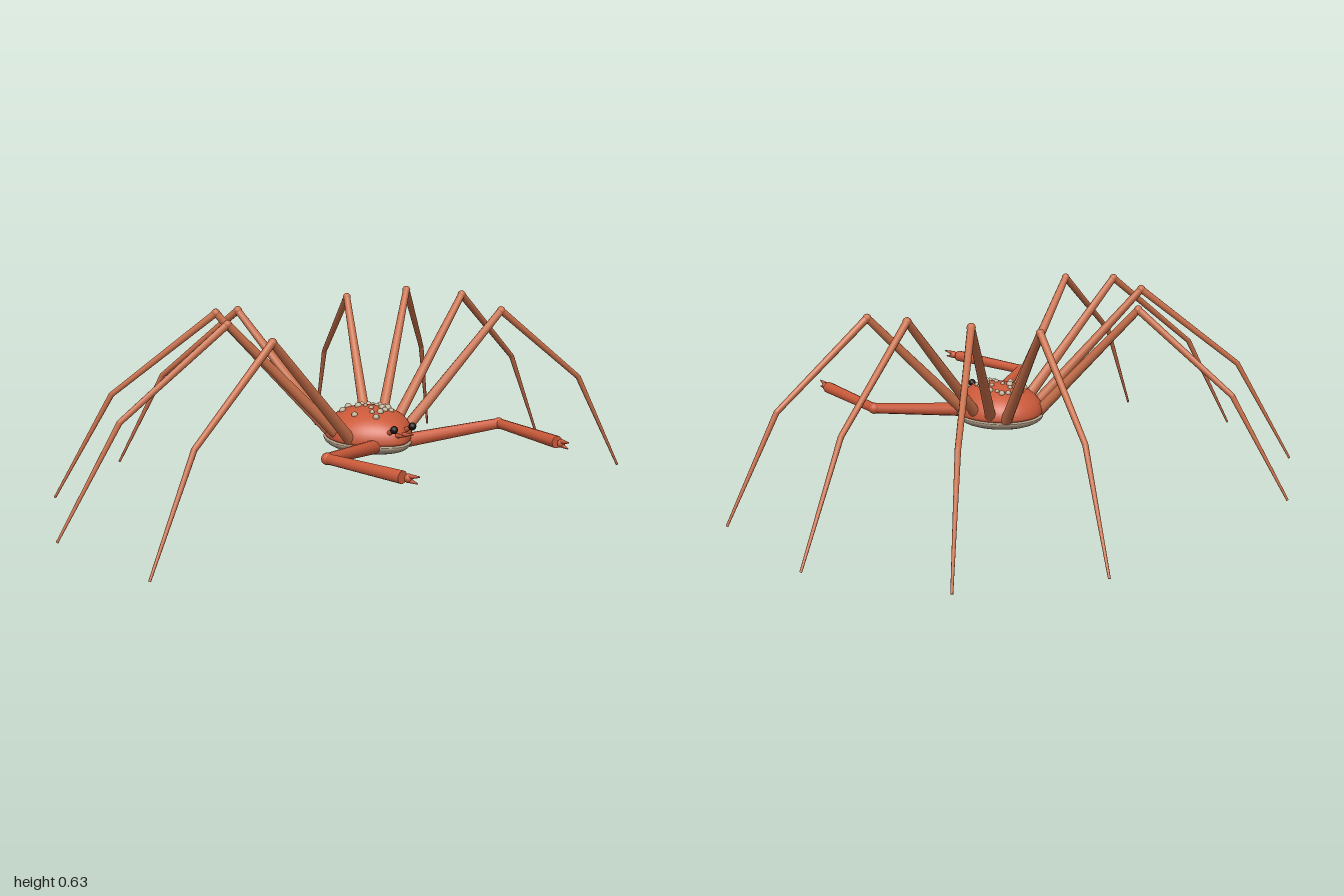
import * as THREE from 'three';

const mat = (name, color) => {
  const m = new THREE.MeshStandardMaterial({ color });
  m.name = name;
  return m;
};
const V = (p) => new THREE.Vector3(...p);

export function createModel() {
  const shell = mat('shell red', 0xcb5a3a);
  const limb = mat('limb orange', 0xc9704a);
  const pale = mat('belly tan', 0xb3a08a);
  const wart = mat('wart beige', 0xc0b096);
  const black = mat('eye black', 0x151210);

  const root = new THREE.Group();
  root.name = 'spiderCrab';

  const add = (parent, name, geo, material) => {
    const m = new THREE.Mesh(geo, material);
    m.name = name;
    parent.add(m);
    return m;
  };
  const ball = (parent, name, p, r, material) =>
    add(parent, name, new THREE.SphereGeometry(r, 12, 8), material).position.set(...p);
  // Tapered rod from a (radius ra) to b (radius rb)
  const rod = (parent, name, a, b, ra, rb, material) => {
    const d = V(b).sub(V(a));
    const m = add(parent, name, new THREE.CylinderGeometry(rb, ra, d.length(), 10), material);
    m.position.copy(V(a)).addScaledVector(d, 0.5);
    m.quaternion.setFromUnitVectors(new THREE.Vector3(0, 1, 0), d.normalize());
  };

  // Body: egg-shaped in plan, narrowing to the front
  const CY = 0.225, CZ = 0.148, RX = 0.141, RZ = 0.163;
  const taper = (t) => (t > 0 ? 1 - 0.4 * t * t : 1);
  const egg = (up, down, s) => {
    const g = new THREE.SphereGeometry(1, 40, 28);
    const p = g.attributes.position;
    for (let i = 0; i < p.count; i++) {
      const x = p.getX(i), y = p.getY(i), z = p.getZ(i);
      p.setXYZ(i, x * RX * s * taper(z), y * (y > 0 ? up : down), z * RZ * s);
    }
    g.computeVertexNormals();
    return g;
  };
  add(root, 'carapace', egg(0.088, 0.03, 0.985), shell).position.set(0, CY, CZ);
  add(root, 'belly', egg(0.012, 0.042, 1), pale).position.set(0, 0.212, CZ);

  // Warts on the back, as [x, z, radius]
  const warts = [
    [-0.02, 0.06, 0.012], [-0.062, 0.085, 0.011], [-0.02, 0.112, 0.012], [0.03, 0.068, 0.009],
    [0.048, 0.08, 0.01], [0.06, 0.122, 0.01], [-0.075, 0.163, 0.01], [0.0, 0.09, 0.008],
    [0.025, 0.178, 0.012], [0.045, 0.18, 0.013], [0.06, 0.15, 0.008], [0.018, 0.2, 0.01],
    [0.04, 0.205, 0.009], [-0.008, 0.208, 0.011], [-0.038, 0.225, 0.01], [-0.01, 0.165, 0.008],
    [0.03, 0.145, 0.008], [-0.03, 0.195, 0.008], [0.05, 0.1, 0.007], [-0.005, 0.13, 0.007],
  ];
  for (const [x, z, r] of warts) {
    const t = (z - CZ) / RZ, u = x / (RX * taper(t));
    ball(root, 'wart', [x, CY + 0.088 * Math.sqrt(Math.max(0, 1 - t * t - u * u)), z], r, wart);
  }

  // Walking legs, as [hip, knee, ankle, tip] on the left side
  const legs = [
    [[0.09, 0.205, 0.185], [0.455, 0.59, 0.263], [0.765, 0.337, 0.328], [0.94, 0.005, 0.367]],
    [[0.09, 0.205, 0.137], [0.472, 0.615, 0.053], [0.8, 0.347, -0.03], [0.995, 0.005, -0.077]],
    [[0.085, 0.205, 0.09], [0.39, 0.615, -0.14], [0.65, 0.35, -0.357], [0.8, 0.005, -0.487]],
    [[0.07, 0.205, 0.045], [0.226, 0.59, -0.265], [0.347, 0.338, -0.557], [0.432, 0.008, -0.728]],
  ];
  const radii = [0.019, 0.014, 0.009, 0.004];

  for (const side of [1, -1]) {
    const word = side > 0 ? 'left' : 'right';
    const f = ([x, y, z]) => [x * side, y, z];

    legs.forEach((pts, i) => {
      const leg = new THREE.Group();
      leg.name = `${word}Leg${i + 1}`;
      root.add(leg);
      ['upperLeg', 'middleLeg', 'lowerLeg'].forEach((name, k) => {
        const end = k === 0 ? 0.012 : radii[k + 1];
        rod(leg, name, f(pts[k]), f(pts[k + 1]), k === 1 ? 0.012 : radii[k], end, limb);
      });
      ball(leg, 'knee', f(pts[1]), radii[1], limb);
      ball(leg, 'ankle', f(pts[2]), radii[2], limb);
    });

    // Claw arm with two fingers
    const arm = new THREE.Group();
    arm.name = `${word}ClawArm`;
    root.add(arm);
    const elbow = f([0.345, 0.25, 0.378]), wrist = f([0.306, 0.256, 0.672]);
    rod(arm, 'upperArm', f([0.06, 0.212, 0.25]), elbow, 0.023, 0.017, shell);
    ball(arm, 'elbow', elbow, 0.0185, shell);
    rod(arm, 'forearm', elbow, wrist, 0.016, 0.0195, shell);
    ball(arm, 'palm', f([0.302, 0.257, 0.692]), 0.013, shell);
    rod(arm, 'upperFinger', f([0.302, 0.262, 0.69]), f([0.294, 0.268, 0.73]), 0.009, 0.002, shell);
    rod(arm, 'lowerFinger', f([0.302, 0.252, 0.69]), f([0.297, 0.248, 0.725]), 0.008, 0.002, shell);

    // Eye on a short stalk, and a beak spine
    rod(root, 'eyeStalk', f([0.03, 0.25, 0.27]), f([0.036, 0.272, 0.308]), 0.009, 0.007, shell);
    ball(root, 'eye', f([0.037, 0.274, 0.312]), 0.0125, black);
    rod(root, 'beakSpine', f([0.01, 0.246, 0.285]), f([0.018, 0.256, 0.338]), 0.01, 0.002, shell);
  }
  return root;
}
